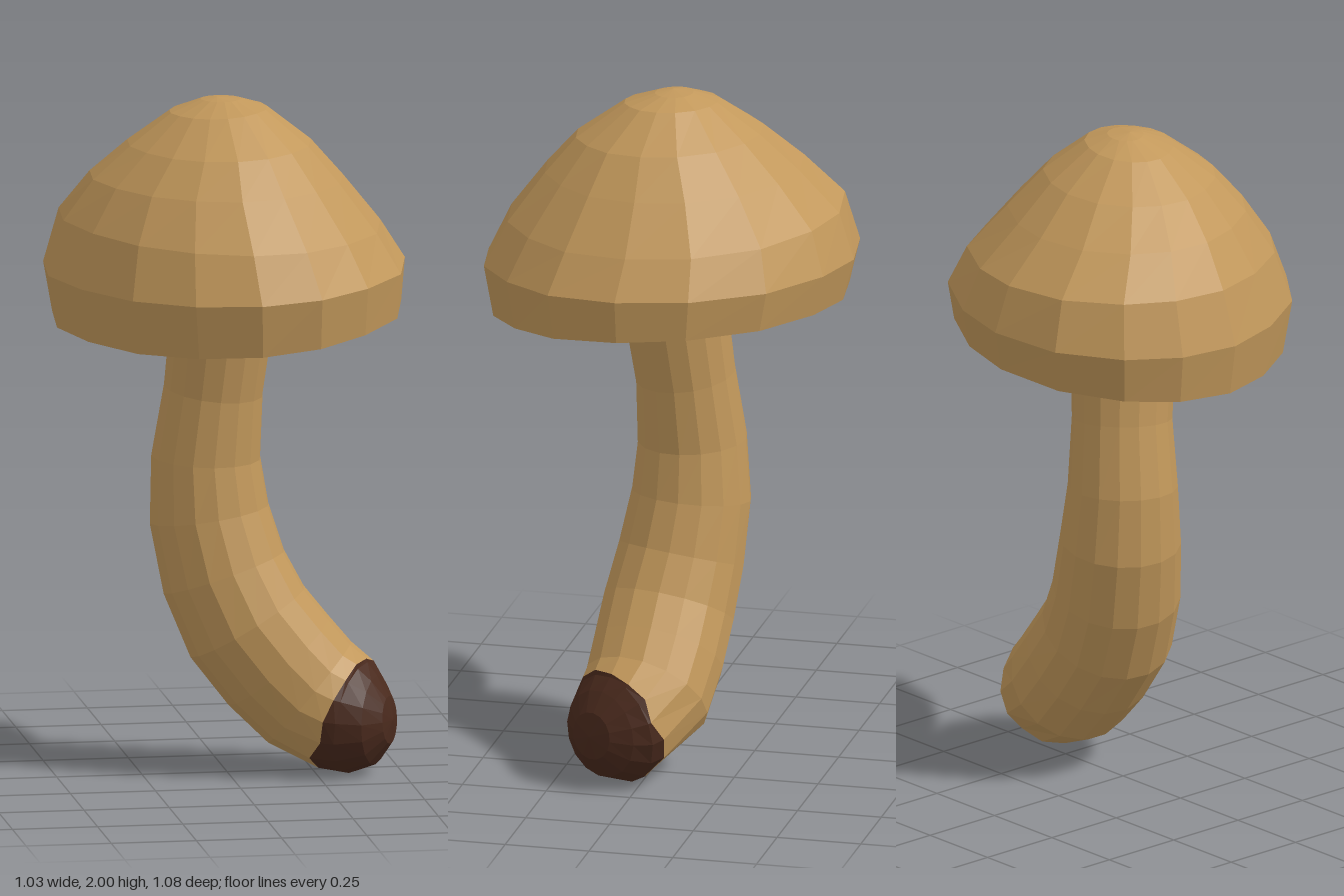
import * as THREE from 'three';

const SIDES = 16;

// Uneven outline of the cap as [x, z], anticlockwise from above
const OUTLINE = [
  [0.515, 0.04], [0.48, -0.17], [0.35, -0.37], [0.15, -0.49],
  [-0.04, -0.535], [-0.26, -0.50], [-0.42, -0.375], [-0.50, -0.22],
  [-0.515, -0.03], [-0.45, 0.165], [-0.33, 0.355], [-0.165, 0.48],
  [0.02, 0.535], [0.20, 0.505], [0.35, 0.40], [0.47, 0.25],
];

// Faceted skin over a list of rings; zero-area triangles at the poles are dropped
function loft(rings, material, name) {
  const pos = [];
  const tri = (a, b, c) => {
    const n = b.clone().sub(a).cross(c.clone().sub(a));
    if (n.length() > 1e-8) for (const p of [a, b, c]) pos.push(p.x, p.y, p.z);
  };
  for (let k = 0; k < rings.length - 1; k++) {
    const lo = rings[k], hi = rings[k + 1];
    for (let i = 0; i < lo.length; i++) {
      const j = (i + 1) % lo.length;
      tri(lo[i], lo[j], hi[j]);
      tri(lo[i], hi[j], hi[i]);
    }
  }
  const geometry = new THREE.BufferGeometry();
  geometry.setAttribute('position', new THREE.Float32BufferAttribute(pos, 3));
  geometry.computeVertexNormals();
  const mesh = new THREE.Mesh(geometry, material);
  mesh.name = name;
  return mesh;
}

// Leaning ring of the cap: extents along x and z, height at each of the four ends
function capRing([x0, x1, z0, z1, yx0, yx1, yz0, yz1]) {
  const y = (yx0 + yx1 + yz0 + yz1) / 4;
  return OUTLINE.map(([ox, oz]) => {
    const c = ox / 0.515, s = oz / 0.535;
    return new THREE.Vector3(
      (x0 + x1) / 2 + c * (x1 - x0) / 2,
      y + c * (yx1 - yx0) / 2 + s * (yz1 - yz0) / 2,
      (z0 + z1) / 2 + s * (z1 - z0) / 2);
  });
}

// Rings square to a centre line given as [x, y, z, radius]
function tubeRings(stations) {
  const centres = stations.map(([x, y, z]) => new THREE.Vector3(x, y, z));
  const u = new THREE.Vector3(1, 0, 0);
  return stations.map(([, , , r], k) => {
    const t = centres[Math.min(k + 1, centres.length - 1)].clone()
      .sub(centres[Math.max(k - 1, 0)]).normalize();
    u.addScaledVector(t, -u.dot(t)).normalize();
    const v = t.clone().cross(u);
    return Array.from({ length: SIDES }, (_, i) => {
      const a = (i / SIDES) * Math.PI * 2;
      return centres[k].clone()
        .addScaledVector(u, r * Math.cos(a)).addScaledVector(v, r * Math.sin(a));
    });
  });
}

export function createModel() {
  const tan = new THREE.MeshStandardMaterial({ color: 0xc2985b });
  tan.name = 'mushroomTan';
  const brown = new THREE.MeshStandardMaterial({ color: 0x4a2a1d });
  brown.name = 'cutEndBrown';
  const model = new THREE.Group();
  model.name = 'mushroom';

  // Cap: hollow inside from its centre down to the rim, then up the outside to the crown
  const cap = [
    [0, 0, 0, 0, 1.77, 1.77, 1.77, 1.77],
    [-0.15, 0.14, -0.14, 0.15, 1.75, 1.75, 1.75, 1.75],
    [-0.31, 0.29, -0.30, 0.31, 1.68, 1.69, 1.69, 1.68],
    [-0.42, 0.41, -0.43, 0.43, 1.57, 1.59, 1.59, 1.57],
    [-0.48, 0.475, -0.495, 0.50, 1.45, 1.49, 1.48, 1.45],
    [-0.475, 0.485, -0.485, 0.49, 1.33, 1.40, 1.405, 1.345],
    [-0.495, 0.505, -0.505, 0.51, 1.32, 1.39, 1.40, 1.33],
    [-0.52, 0.515, -0.535, 0.54, 1.485, 1.525, 1.51, 1.475],
    [-0.475, 0.445, -0.49, 0.475, 1.64, 1.63, 1.65, 1.62],
    [-0.39, 0.335, -0.37, 0.37, 1.76, 1.765, 1.77, 1.76],
    [-0.285, 0.24, -0.255, 0.28, 1.86, 1.875, 1.875, 1.86],
    [-0.165, 0.115, -0.13, 0.14, 1.955, 1.972, 1.965, 1.96],
    [-0.075, 0.04, -0.06, 0.05, 1.992, 1.994, 1.992, 1.992],
    [-0.03, -0.03, 0, 0, 2, 2, 2, 2],
  ].map(capRing);
  model.add(loft(cap, tan, 'cap'));

  // Stem: runs down from inside the cap and bends sideways to the cut end
  const rings = tubeRings([
    [0, 1.79, 0, 0.165],
    [-0.01, 1.38, -0.005, 0.153],
    [-0.035, 1.13, -0.035, 0.146],
    [-0.055, 0.93, -0.05, 0.16],
    [-0.045, 0.76, -0.05, 0.176],
    [-0.005, 0.59, -0.03, 0.187],
    [0.06, 0.445, -0.008, 0.195],
    [0.15, 0.33, 0.002, 0.195],
    [0.24, 0.235, 0.015, 0.19],
    [0.325, 0.182, 0.045, 0.184],
    [0.372, 0.168, 0.08, 0.166],
    [0.42, 0.165, 0.108, 0.13],
    [0.457, 0.168, 0.126, 0.07],
    [0.466, 0.168, 0.131, 0],
  ]);

  // Ragged border where the skin meets the cut end, reaching further along at the back
  const border = 9;
  const ragged = rings[border].map((p, i) => {
    const wave = 0.22 * Math.sin(i * 2.4) + 0.16 * Math.sin(i * 5.1 + 1);
    const shift = THREE.MathUtils.clamp(0.4 - 2.2 * (p.z - 0.045) + wave, 0, 0.95);
    return p.clone().lerp(rings[border + 1][i], shift);
  });
  model.add(loft([...rings.slice(0, border), ragged], tan, 'stem'));
  model.add(loft([ragged, ...rings.slice(border + 1)], brown, 'cutEnd'));

  return model;
}
